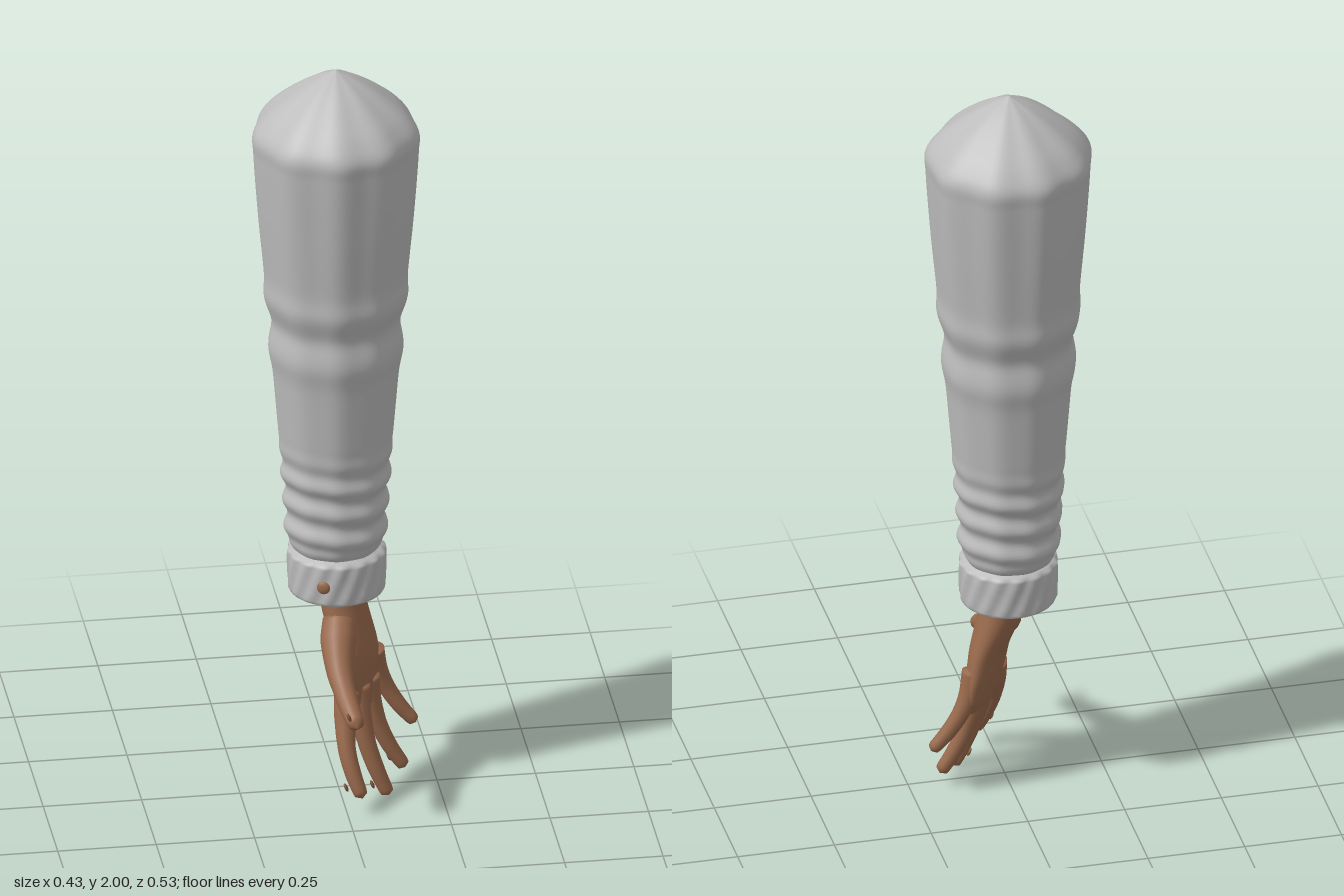
import * as THREE from 'three';

const V = (x, y, z) => new THREE.Vector3(x, y, z);

// Smooth closed-around surface: point(angle, t), with t running along the part
function surface(point, around, along) {
  const pos = [], idx = [];
  for (let j = 0; j <= along; j++)
    for (let i = 0; i < around; i++) pos.push(...point((i / around) * Math.PI * 2, j / along).toArray());
  for (let j = 0; j < along; j++)
    for (let i = 0; i < around; i++) {
      const k = (i + 1) % around;
      const a = j * around + i, b = j * around + k, c = a + around, d = b + around;
      idx.push(a, c, b, b, c, d);
    }
  const g = new THREE.BufferGeometry();
  g.setAttribute('position', new THREE.Float32BufferAttribute(pos, 3));
  g.setIndex(idx);
  g.computeVertexNormals();
  return g;
}

// Tapered limb with a round tip; stations are [x, y, z, radius]
function limb(stations) {
  const path = new THREE.CatmullRomCurve3(stations.map(s => V(s[0], s[1], s[2])));
  const along = 28;
  const frames = path.computeFrenetFrames(along);
  const n = stations.length - 1;
  const len = path.getLength();
  return surface((a, t) => {
    const j = Math.round(t * along);
    const p = path.getPointAt(t);
    const f = Math.min(t * n, n - 1e-6), k = Math.floor(f);
    let r = THREE.MathUtils.lerp(stations[k][3], stations[k + 1][3], f - k);
    const left = (1 - t) * len, cap = stations[n][3];
    if (left < cap) r *= Math.sqrt(Math.max(0, 1 - (1 - left / cap) ** 2));
    if (j === 0) r = 0;
    return p.addScaledVector(frames.normals[j], r * Math.cos(a)).addScaledVector(frames.binormals[j], -r * Math.sin(a));
  }, 16, along);
}

const bump = (y, at, width) => Math.exp(-(((y - at) / width) ** 2));

export function createModel() {
  const group = new THREE.Group();
  const cloth = new THREE.MeshStandardMaterial({ name: 'grey cloth', color: 0xbcbcbc });
  const skin = new THREE.MeshStandardMaterial({ name: 'brown skin', color: 0x98694c });
  const nailColor = new THREE.MeshStandardMaterial({ name: 'nail brown', color: 0x80583f });
  const add = (name, geometry, material, parent = group) => {
    const m = new THREE.Mesh(geometry, material);
    m.name = name;
    parent.add(m);
    return m;
  };

  // Sleeve: pointed shoulder, lengthwise lobes, elbow folds and gathers above the cuff
  const profile = new THREE.CatmullRomCurve3([
    [0, 2], [0.06, 1.968], [0.12, 1.926], [0.18, 1.872], [0.207, 1.83], [0.206, 1.78],
    [0.194, 1.6], [0.178, 1.42], [0.165, 1.25], [0.145, 1.0], [0.13, 0.82], [0.121, 0.69], [0.11, 0.667],
  ].map(([r, y]) => V(r, y, 0)));
  add('sleeve', surface((a, t) => {
    const p = profile.getPointAt(t), y = p.y;
    const lobes = 0.01 + 0.012 * THREE.MathUtils.smoothstep(y, 1.0, 1.8);
    let r = p.x * (1 + lobes * Math.cos(9 * a + 0.9 + 0.5 * Math.sin(a * 2)));
    r += 0.006 * bump(y, 1.38, 0.035) - 0.008 * bump(y, 1.305, 0.035) + 0.006 * bump(y, 1.225, 0.04);
    const gather = THREE.MathUtils.smoothstep(y, 0.67, 0.71) * (1 - THREE.MathUtils.smoothstep(y, 0.86, 1.0));
    r += 0.006 * gather * Math.sin((y - 0.705) * 2 * Math.PI / 0.075 + 0.6 * Math.sin(a * 2));
    return V(r * Math.sin(a), y, -0.049 + r * Math.cos(a));
  }, 90, 180), cloth);

  // Cuff with slanting creases and a closed underside
  const cuffProfile = [[0.1, 0.668], [0.112, 0.661], [0.122, 0.656], [0.1235, 0.648], [0.1235, 0.625], [0.123, 0.6],
    [0.1225, 0.575], [0.122, 0.555], [0.12, 0.547], [0.115, 0.544], [0.112, 0.544], [0, 0.544]];
  add('cuff', surface((a, t) => {
    const [r0, y] = cuffProfile[Math.round(t * (cuffProfile.length - 1))];
    const r = r0 + (r0 > 0.1205 ? 0.0022 * Math.sin(16 * a - y * 55) : 0);
    return V(0.002 + r * Math.sin(a), y, -0.047 + r * Math.cos(a));
  }, 128, cuffProfile.length - 1), cloth);

  // Cuff button
  const button = add('cuffButton', new THREE.SphereGeometry(0.017, 20, 12), skin);
  button.scale.z = 0.45;
  button.position.set(-0.048, 0.6, 0.067);
  button.rotation.y = -0.4;

  // Palm: flattened sections [y, centre x, centre z, half width, half thickness]
  const hand = new THREE.Group();
  hand.name = 'hand';
  group.add(hand);
  const sections = [[0.6, 0.008, -0.038, 0.066, 0.056], [0.53, 0.014, -0.038, 0.066, 0.056],
    [0.46, 0.028, -0.03, 0.08, 0.052], [0.39, 0.042, -0.014, 0.1, 0.045], [0.32, 0.05, -0.008, 0.113, 0.038],
    [0.27, 0.056, -0.006, 0.11, 0.031], [0.235, 0.062, -0.004, 0.092, 0.022], [0.222, 0.063, -0.004, 0, 0]];
  const centres = new THREE.CatmullRomCurve3(sections.map(s => V(s[1], s[0], s[2])));
  const sizes = new THREE.CatmullRomCurve3(sections.map(s => V(s[3], s[4], 0)));
  const across = V(-0.52, 0, 0.854), through = V(0.854, 0, 0.52);
  add('palm', surface((a, t) => {
    const s = sizes.getPoint(t);
    return centres.getPoint(t).addScaledVector(across, s.x * Math.cos(a)).addScaledVector(through, s.y * Math.sin(a));
  }, 40, 42), skin, hand);

  // Thumb and fingers
  const digits = {
    thumb: [[0.005, 0.48, -0.01, 0.042], [-0.008, 0.425, 0.05, 0.046], [-0.012, 0.378, 0.11, 0.037],
      [-0.006, 0.343, 0.17, 0.029], [0.002, 0.318, 0.218, 0.026], [0.012, 0.296, 0.262, 0.02]],
    indexFinger: [[0.012, 0.31, 0.055, 0.032], [0.006, 0.24, 0.08, 0.029], [0.004, 0.17, 0.112, 0.023],
      [0.016, 0.11, 0.136, 0.021], [0.038, 0.046, 0.158, 0.017]],
    middleFinger: [[0.045, 0.31, 0.02, 0.032], [0.05, 0.23, 0.034, 0.028], [0.064, 0.15, 0.049, 0.023],
      [0.086, 0.08, 0.059, 0.021], [0.118, 0.003, 0.066, 0.017]],
    ringFinger: [[0.075, 0.31, -0.025, 0.032], [0.085, 0.235, -0.025, 0.027], [0.104, 0.165, -0.022, 0.022],
      [0.13, 0.105, -0.02, 0.02], [0.172, 0.036, -0.018, 0.017]],
    littleFinger: [[0.095, 0.36, -0.068, 0.03], [0.112, 0.285, -0.076, 0.026], [0.134, 0.235, -0.078, 0.022],
      [0.165, 0.185, -0.075, 0.02], [0.207, 0.134, -0.07, 0.016]],
  };
  for (const [name, stations] of Object.entries(digits)) {
    add(name, limb(stations), skin, hand);
    // Small nail standing off the tip
    const [x, y, z] = stations[stations.length - 1];
    const nail = add(name + 'Nail', new THREE.SphereGeometry(0.01, 12, 8), nailColor, hand);
    nail.scale.set(0.45, 1.2, 0.8);
    nail.position.set(x - (name === 'thumb' ? 0.024 : 0.042), y + 0.034, z);
    nail.rotation.z = 0.4;
  }
  return group;
}
